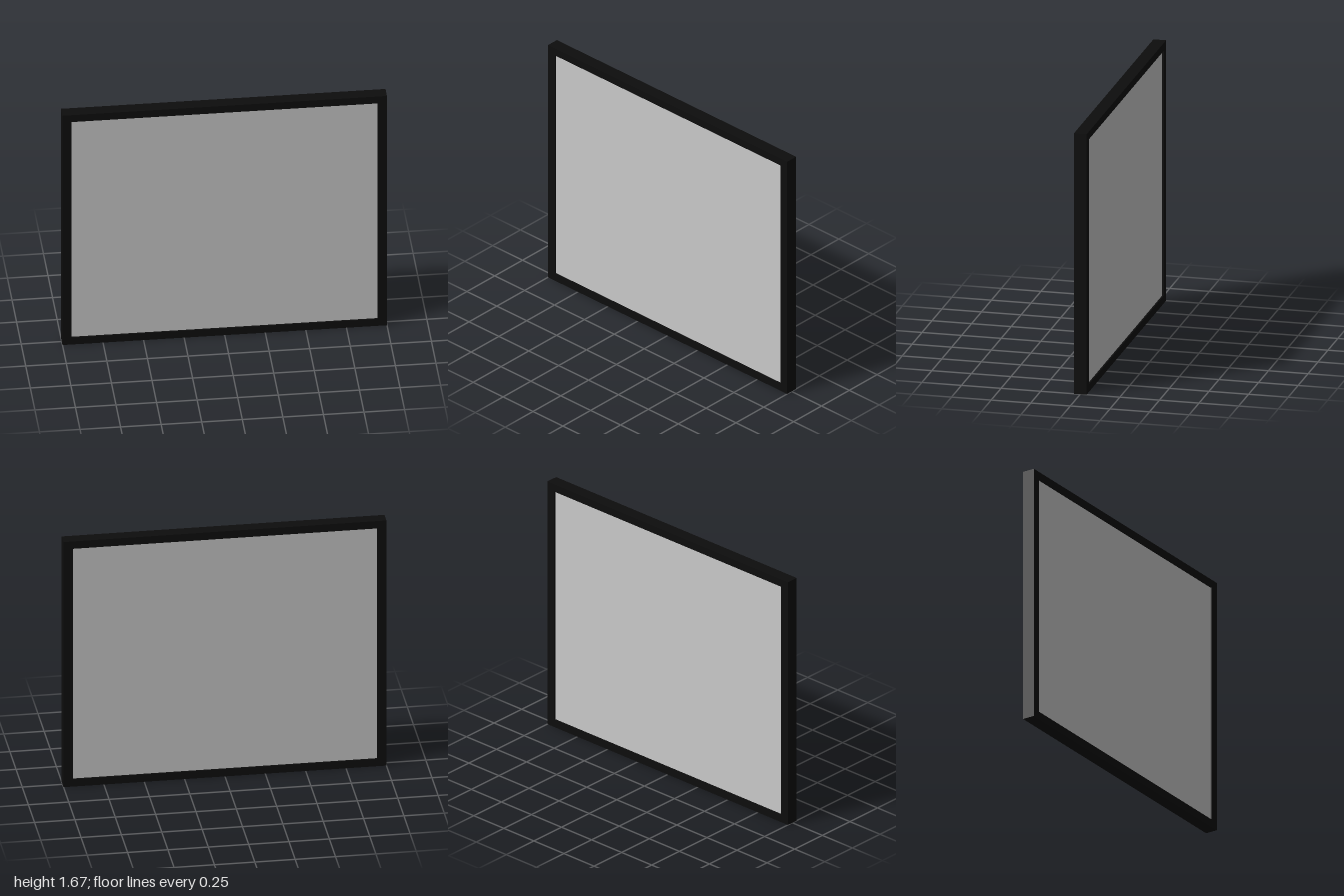
import * as THREE from 'three';

const W = 2, H = 1.67, DEPTH = 0.08;
const BAR = 0.057, RAIL = 0.05;

// Rectangle path around the given bounds
function rect(path, x0, y0, x1, y1) {
  path.moveTo(x0, y0);
  path.lineTo(x1, y0);
  path.lineTo(x1, y1);
  path.lineTo(x0, y1);
  path.closePath();
  return path;
}

export function createModel() {
  const group = new THREE.Group();
  group.name = 'framedPanel';

  // Black frame, open in the middle
  const outline = rect(new THREE.Shape(), -W / 2, 0, W / 2, H);
  outline.holes.push(rect(new THREE.Path(), -W / 2 + BAR, RAIL, W / 2 - BAR, H - RAIL));
  const frameGeometry = new THREE.ExtrudeGeometry(outline, { depth: DEPTH, bevelEnabled: false });
  frameGeometry.translate(0, 0, -DEPTH / 2);
  const frame = new THREE.Mesh(frameGeometry, new THREE.MeshStandardMaterial({ color: 0x0d0d0d }));
  frame.name = 'frame';
  group.add(frame);

  // Grey pane, slightly recessed on both faces
  const pane = new THREE.Mesh(
    new THREE.BoxGeometry(W - 2 * BAR, H - 2 * RAIL, DEPTH - 0.02),
    new THREE.MeshStandardMaterial({ color: 0xcccccc })
  );
  pane.name = 'pane';
  pane.position.y = H / 2;
  group.add(pane);

  return group;
}
